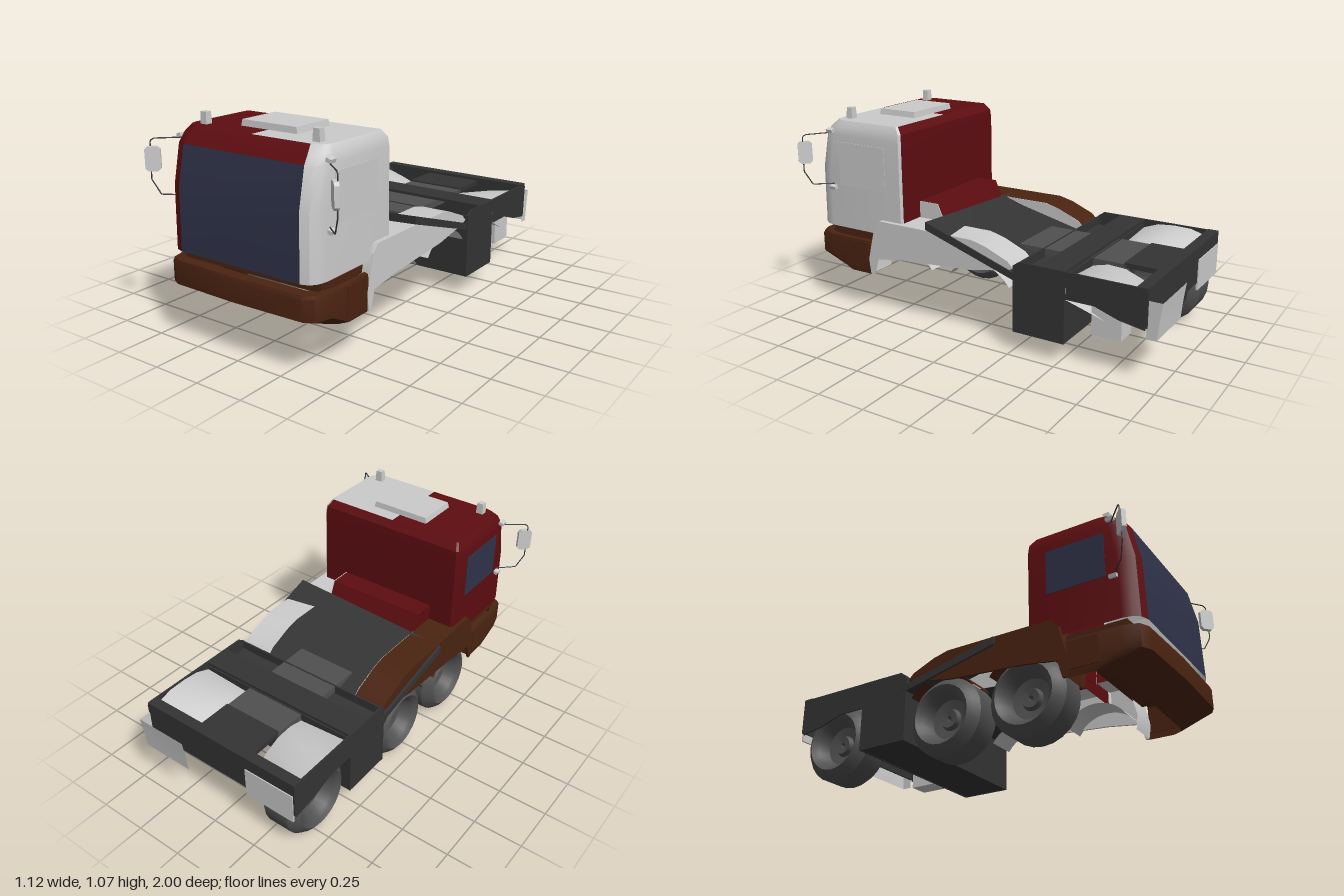
import * as THREE from 'three';
import { toCreasedNormals } from 'three/addons/utils/BufferGeometryUtils.js';

const mat = (color) => new THREE.MeshStandardMaterial({ color, side: THREE.DoubleSide });
const GREY = mat(0xcccccc), RED = mat(0x5e0d11), BROWN = mat(0x4a2311);
const GLASS = mat(0x30334a), DARK = mat(0x343434), DECK = mat(0x505050), TYRE = mat(0x505050);
const UNDERSIDE = new THREE.MeshStandardMaterial({ color: 0x343434 });

export function createModel() {
  const model = new THREE.Group();

  const add = (name, geometry, material, parent = model) => {
    const mesh = new THREE.Mesh(geometry, material);
    mesh.name = name;
    parent.add(mesh);
    return mesh;
  };
  // box given by its limits on each axis
  const box = (name, x0, x1, y0, y1, z0, z1, material) => {
    const g = new THREE.BoxGeometry(x1 - x0, y1 - y0, z1 - z0);
    g.translate((x0 + x1) / 2, (y0 + y1) / 2, (z0 + z1) / 2);
    return add(name, g, material);
  };
  // box whose top face is drawn in by a factor
  const taperedBox = (name, x0, x1, y0, y1, z0, z1, k, material) => {
    const mesh = box(name, x0, x1, y0, y1, z0, z1, material);
    const p = mesh.geometry.attributes.position, cx = (x0 + x1) / 2, cz = (z0 + z1) / 2;
    for (let i = 0; i < p.count; i++) {
      if (p.getY(i) > (y0 + y1) / 2) {
        p.setX(i, cx + (p.getX(i) - cx) * k);
        p.setZ(i, cz + (p.getZ(i) - cz) * k);
      }
    }
    mesh.geometry.computeVertexNormals();
  };
  // sheet through rows of [x, y, z] points
  const sheet = (name, rows, material, crease = 0.6) => {
    const n = rows[0].length, index = [];
    for (let r = 0; r < rows.length - 1; r++) {
      for (let i = 0; i < n - 1; i++) {
        const a = r * n + i, b = a + 1, c = a + n, d = c + 1;
        index.push(a, b, d, a, d, c);
      }
    }
    const g = new THREE.BufferGeometry();
    g.setAttribute('position', new THREE.Float32BufferAttribute(rows.flat(2), 3));
    g.setIndex(index);
    add(name, toCreasedNormals(g, crease), material);
  };
  // side profile of [z, y] points, extruded from x0 to x1
  const profile = (name, points, x0, x1, material) => {
    const shape = new THREE.Shape(points.map(([z, y]) => new THREE.Vector2(-z, y)));
    const g = new THREE.ExtrudeGeometry(shape, { depth: x1 - x0, bevelEnabled: false });
    g.rotateY(Math.PI / 2);
    g.translate(x0, 0, 0);
    add(name, g, material);
  };

  // --- Cab shell, open below: plan paths lifted through levels [y, width, zFront, zBack]
  const levels = [[0.44, 1, 0.975, 0.417], [0.75, 1, 0.968, 0.417], [0.935, 0.997, 0.928, 0.417],
    [0.975, 0.985, 0.9, 0.42], [1.01, 0.94, 0.86, 0.45]];
  const lift = (path, used) => used.map(([y, k, zf, zb]) =>
    path.map(([x, t]) => [x * k, y, zb + (zf - zb) * t]));
  const sidePath = (s) => [[0.348, 1], [0.39, 0.975], [0.413, 0.92], [0.423, 0.84],
    [0.423, 0.02], [0.412, 0]].map(([x, t]) => [x * s, t]);
  const frontPath = [[-0.348, 1], [0.348, 1]];
  sheet('cabSideLeft', lift(sidePath(1), levels), GREY);
  sheet('cabSideRight', lift(sidePath(-1).reverse(), levels), RED);
  sheet('windshield', lift(frontPath, levels.slice(0, 3)), GLASS);
  sheet('windshieldHeader', lift(frontPath, levels.slice(2)), RED);
  sheet('cabBack', lift([[0.412, 0], [-0.412, 0]], levels), RED);
  const roofHalf = (s) => {
    const edge = lift(sidePath(s), levels.slice(4))[0];
    return [edge.map(([, y, z]) => [0, y, z]), edge];
  };
  sheet('roofLeft', roofHalf(1), GREY);
  sheet('roofRight', roofHalf(-1), RED);

  // side windows, roof hatch and the hump behind the cab
  box('sideWindowRight', -0.426, -0.42, 0.67, 0.9, 0.52, 0.82, GLASS);
  box('sideWindowLeft', 0.42, 0.425, 0.67, 0.9, 0.52, 0.82, GREY);
  taperedBox('roofHatch', -0.162, 0.165, 1.005, 1.04, 0.52, 0.75, 0.96, GREY);
  const hump = [[0.42, 0.5], [0.42, 0.605], [0.305, 0.605], [0.258, 0.5]];
  profile('rearCabHump', hump, -0.28, 0.27, RED);
  profile('rearCabHumpEnd', hump, 0.27, 0.275, GREY);

  // --- Mirrors and roof lamps on both sides
  for (const s of [-1, 1]) {
    const mirror = new THREE.Group();
    mirror.name = s > 0 ? 'mirrorLeft' : 'mirrorRight';
    model.add(mirror);
    const arm = new THREE.CurvePath();
    const pts = [[0.42, 0.945, 0.86], [0.525, 0.942, 0.945], [0.537, 0.93, 0.955], [0.537, 0.75, 0.96],
      [0.505, 0.677, 0.935], [0.42, 0.672, 0.86]].map(([x, y, z]) => new THREE.Vector3(x * s, y, z));
    for (let i = 0; i < pts.length - 1; i++) arm.add(new THREE.LineCurve3(pts[i], pts[i + 1]));
    add('mirrorArm', new THREE.TubeGeometry(arm, 60, 0.003, 6), DARK, mirror);
    const outline = new THREE.Shape([[-0.036, -0.044], [-0.022, -0.058], [0.022, -0.058], [0.036, -0.044],
      [0.036, 0.044], [0.022, 0.058], [-0.022, 0.058], [-0.036, 0.044]].map(([x, y]) => new THREE.Vector2(x, y)));
    const g = new THREE.ExtrudeGeometry(outline, { depth: 0.022, bevelEnabled: false });
    g.translate(0, 0, -0.011);
    const housing = add('mirrorHousing', g, GREY, mirror);
    housing.position.set(0.524 * s, 0.848, 0.955);
    housing.rotation.y = -0.75 * s;
    for (const y of [0.957, 0.655]) {
      const base = add('mirrorBracket', new THREE.BoxGeometry(0.026, 0.018, 0.038), GREY, mirror);
      base.position.set(0.43 * s, y, 0.86);
      base.rotation.z = -0.3 * s;
    }
    taperedBox('roofLamp', 0.325 * s - 0.02, 0.325 * s + 0.02, 1, 1.067, 0.785, 0.822, 0.85, GREY);
  }

  // --- Bumper: plan outline lifted through its height
  const bumperPlan = [[-0.445, 0.62], [-0.445, 0.88], [-0.42, 0.965], [-0.37, 0.99], [0, 1],
    [0.37, 0.99], [0.42, 0.965], [0.445, 0.88], [0.445, 0.62]];
  const bumperLevels = [[0.215, 0.985, 0.52], [0.28, 1, 1], [0.38, 1, 1], [0.397, 0.99, 0.98], [0.4, 0.95, 0.85]];
  sheet('bumper', bumperLevels.map(([y, k, d]) =>
    bumperPlan.map(([x, z]) => [x * k, y, 0.62 + (z - 0.62) * d])), BROWN);
  box('cabSill', -0.4, 0.4, 0.385, 0.445, 0.6, 0.9, BROWN);
  for (const s of [-1, 1]) {
    const panel = box('stepPanel', -0.005, 0.005, 0.25, 0.385, 0.63, 0.78, BROWN);
    panel.position.x = 0.443 * s;
  }

  // --- Front fenders: outer wall, top cover and inner wheel arches
  const top = [[0.62, 0.22], [0.63, 0.3], [0.585, 0.48], [0.55, 0.52], [-0.02, 0.52], [-0.1, 0.5],
    [-0.22, 0.45], [-0.25, 0.42]];
  const lower = [[-0.22, 0.405], [0, 0.365], [0.4, 0.335], [0.575, 0.31], [0.6, 0.22]];
  const archRow = (x, z) => Array.from({ length: 13 }, (_, i) => {
    const a = 0.6 + (Math.PI - 1.2) * i / 12;
    return [x, 0.2 + 0.21 * Math.sin(a), z + 0.21 * Math.cos(a)];
  });
  for (const [s, m] of [[1, GREY], [-1, BROWN]]) {
    const outer = 0.447 * s, inner = 0.28 * s;
    profile('fenderWall', [...top, ...lower], s > 0 ? 0.435 : -0.447, s > 0 ? 0.447 : -0.435, m);
    sheet('fenderTop', [inner, outer].map((x) => top.map(([z, y]) => [x, y, z])), m);
    for (const z of [0.395, -0.055]) sheet('wheelArch', [archRow(inner, z), archRow(outer, z)], m);
  }
  profile('innerFenderWall', [...top.slice(2), ...lower.slice(0, 4)], -0.282, -0.278, GREY);

  // --- Wheels: three on the right side, open at the axle
  const rim = [[0.013, -0.03], [0.013, 0.04], [0.045, 0.045], [0.055, 0.02], [0.1, 0.03], [0.12, 0.085],
    [0.135, 0.1], [0.15, 0.113], [0.175, 0.095], [0.198, 0.065], [0.198, -0.065], [0.175, -0.095],
    [0.15, -0.113], [0.135, -0.1], [0.12, -0.085], [0.1, -0.035], [0.055, -0.025], [0.045, -0.035], [0.013, -0.03]];
  const wheelGeometry = toCreasedNormals(
    new THREE.LatheGeometry(rim.map(([r, y]) => new THREE.Vector2(r, y)), 24), 0.5);
  wheelGeometry.rotateZ(Math.PI / 2);
  for (const z of [0.395, -0.055, -0.725]) {
    add('wheel', wheelGeometry, TYRE).position.set(-0.328, 0.2, z);
  }

  // --- Sloping cover behind the cab, twisted a little
  const cover = box('slopingCover', -0.46, 0.455, 0, 1, -0.32, 0.25, DARK);
  const cp = cover.geometry.attributes.position;
  for (let i = 0; i < cp.count; i++) {
    const up = cp.getY(i) > 0.5, left = cp.getX(i) > 0;
    if (cp.getZ(i) > 0) cp.setY(i, (left ? 0.568 : 0.515) - (up ? 0 : 0.04));
    else cp.setY(i, up ? 0.38 : 0.345);
  }
  cover.geometry.computeVertexNormals();

  // --- Rear frame: side tanks, skirts, rim and deck
  for (const z of [-0.26, -0.525]) box('bulkhead', -0.46, 0.455, 0.105, 0.44, z - 0.004, z + 0.004, DARK);
  const floor = new THREE.PlaneGeometry(0.91, 0.265);
  floor.rotateX(Math.PI / 2);
  add('tankFloor', floor, UNDERSIDE).position.set(0, 0.107, -0.393);
  for (const s of [-1, 1]) {
    const x = 0.455 * s;
    profile('rearSkirt', [[-0.255, 0.105], [-0.255, 0.44], [-0.29, 0.465], [-0.92, 0.465], [-0.935, 0.45],
      [-0.925, 0.27], [-0.8, 0.29], [-0.68, 0.33], [-0.53, 0.33], [-0.53, 0.105]], x - 0.004, x + 0.004, DARK);
    // bulged cover over the rear wheel, falling toward the inner rear corner
    const z = [-0.53, -0.61, -0.7, -0.79, -0.88];
    const heights = [[0.165, [0.4, 0.42, 0.415, 0.38, 0.31]], [0.3, [0.41, 0.44, 0.445, 0.43, 0.38]],
      [0.452, [0.42, 0.45, 0.458, 0.455, 0.43]]];
    sheet('rearWheelCover', heights.map(([hx, ys]) => ys.map((y, i) => [hx * s, y, z[i]])), GREY, 1);
  }
  box('deckFront', -0.46, 0.455, 0.45, 0.465, -0.53, -0.39, DARK);
  box('deckRear', -0.165, 0.165, 0.42, 0.445, -0.9, -0.69, DARK);
  box('centreBeam', -0.165, 0.165, 0.4, 0.437, -0.7, -0.12, DECK);
  box('rearPanel', -0.46, 0.455, 0.28, 0.465, -0.935, -0.925, DARK);
  box('rearRim', -0.46, 0.455, 0.452, 0.467, -0.935, -0.88, DARK);

  // --- Mud flaps and under-deck box
  sheet('mudFlapLeft', [[0.41, -1], [0.32, -0.988], [0.23, -0.98]].map(([y, z]) =>
    [[0.45, y, -0.93], [0.45, y, z], [0.165, y, z]]), GREY);
  box('mudFlapRight', -0.45, -0.17, 0.24, 0.4, -0.94, -0.93, GREY);
  box('underDeckBox', 0.31, 0.42, 0.17, 0.32, -0.8, -0.65, GREY);
  sheet('underDeckBrace', [[[0.2, 0.38, -0.54], [0.46, 0.39, -0.535]], [[0.2, 0.32, -0.54], [0.46, 0.33, -0.535]],
    [[0.2, 0.25, -0.72], [0.42, 0.25, -0.72]]], GREY);

  return model;
}
